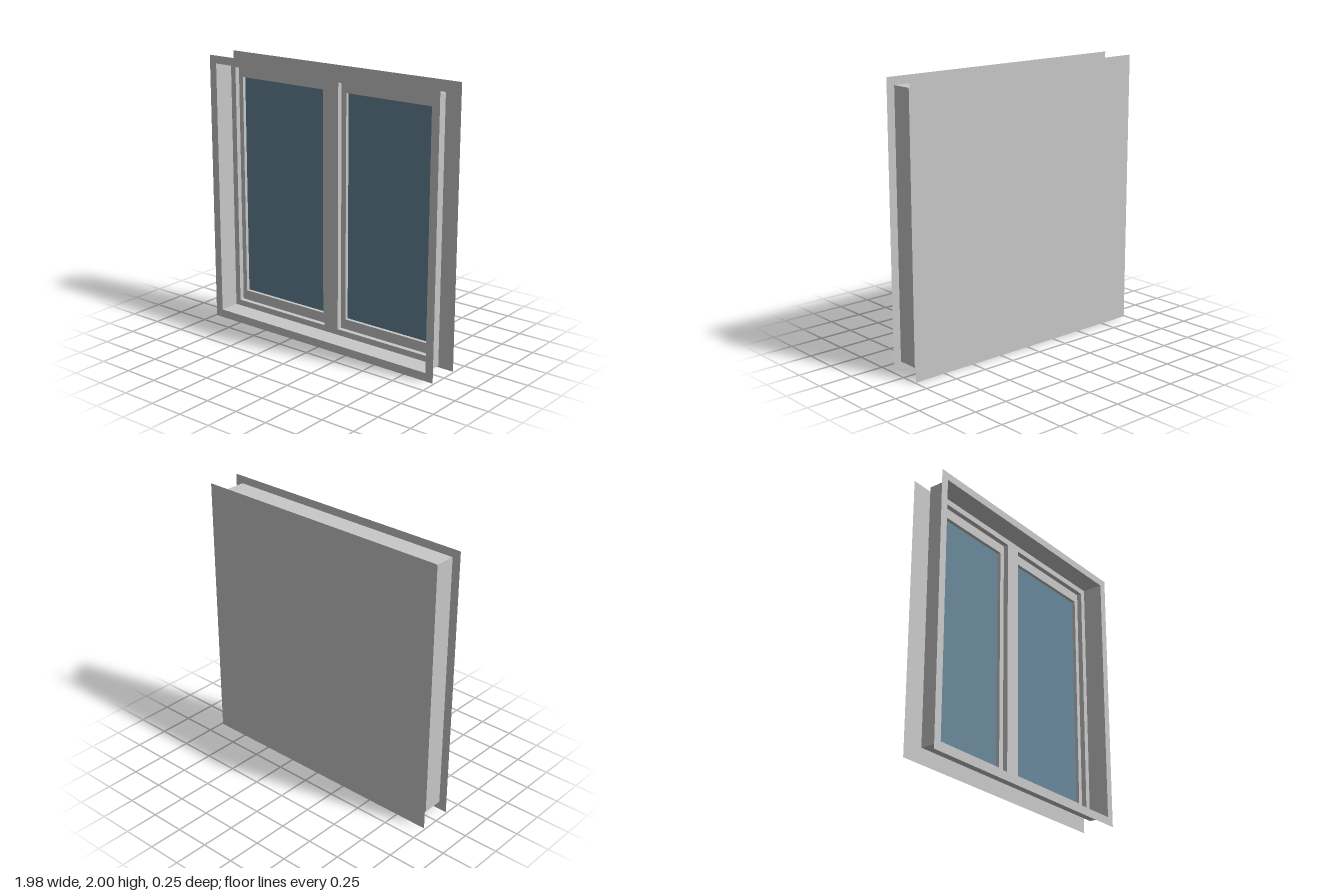
import * as THREE from 'three';
import { mergeGeometries } from 'three/addons/utils/BufferGeometryUtils.js';

// Rectangles are [x0, x1, y0, y1]
const OUTER = [-0.99, 0.99, 0, 2];
const REVEAL = [-0.93, 0.93, 0.06, 1.943];
const SASHES = [[-0.887, -0.061, 0.104, 1.9], [0.061, 0.887, 0.104, 1.9]];
const PANES = [[-0.85, -0.102, 0.179, 1.827], [0.102, 0.85, 0.179, 1.827]];
const Z = { front: 0.1235, frame: -0.031, sash: -0.068, glass: -0.094, back: -0.1235 };

function trace(path, [x0, x1, y0, y1]) {
  path.moveTo(x0, y0).lineTo(x1, y0).lineTo(x1, y1).lineTo(x0, y1).closePath();
  return path;
}

// Flat sheet facing +z with rectangular openings
function sheet(rect, z, holes = []) {
  const shape = trace(new THREE.Shape(), rect);
  shape.holes = holes.map((h) => trace(new THREE.Path(), h));
  return new THREE.ShapeGeometry(shape).translate(0, 0, z);
}

// Four thin walls lining an opening, facing inward
function lining([x0, x1, y0, y1], zFront, zBack) {
  const d = zFront - zBack, z = (zFront + zBack) / 2;
  const cx = (x0 + x1) / 2, cy = (y0 + y1) / 2;
  return mergeGeometries([
    new THREE.PlaneGeometry(d, y1 - y0).rotateY(Math.PI / 2).translate(x0, cy, z),
    new THREE.PlaneGeometry(d, y1 - y0).rotateY(-Math.PI / 2).translate(x1, cy, z),
    new THREE.PlaneGeometry(x1 - x0, d).rotateX(-Math.PI / 2).translate(cx, y0, z),
    new THREE.PlaneGeometry(x1 - x0, d).rotateX(Math.PI / 2).translate(cx, y1, z),
  ]);
}

export function createModel() {
  const frameGrey = new THREE.MeshStandardMaterial({ color: 0xc8c8c8, side: THREE.DoubleSide });
  frameGrey.name = 'frame grey';
  const glassBlue = new THREE.MeshStandardMaterial({ color: 0x658699, side: THREE.DoubleSide });
  glassBlue.name = 'glass blue';

  const model = new THREE.Group();
  model.name = 'window';
  const add = (name, geometry, material = frameGrey, parent = model) => {
    const mesh = new THREE.Mesh(geometry, material);
    mesh.name = name;
    parent.add(mesh);
  };

  // Outer trim, deep reveal and the fixed frame with its centre mullion
  add('frontTrim', sheet(OUTER, Z.front, [REVEAL]));
  add('reveal', lining(REVEAL, Z.front, Z.frame));
  add('fixedFrame', sheet(REVEAL, Z.frame, SASHES));

  // Two stepped sashes, each with a pane
  SASHES.forEach((rect, i) => {
    const sash = new THREE.Group();
    sash.name = i ? 'leftSash' : 'rightSash';
    add('sashRebate', lining(rect, Z.frame, Z.sash), frameGrey, sash);
    add('sashFrame', sheet(rect, Z.sash, [PANES[i]]), frameGrey, sash);
    add('glassRebate', lining(PANES[i], Z.sash, Z.glass), frameGrey, sash);
    add('glassPane', sheet(PANES[i], Z.glass), glassBlue, sash);
    model.add(sash);
  });

  // Backing sheet, facing -z
  add('backPanel', sheet(OUTER, 0).rotateY(Math.PI).translate(0, 0, Z.back));

  return model;
}
